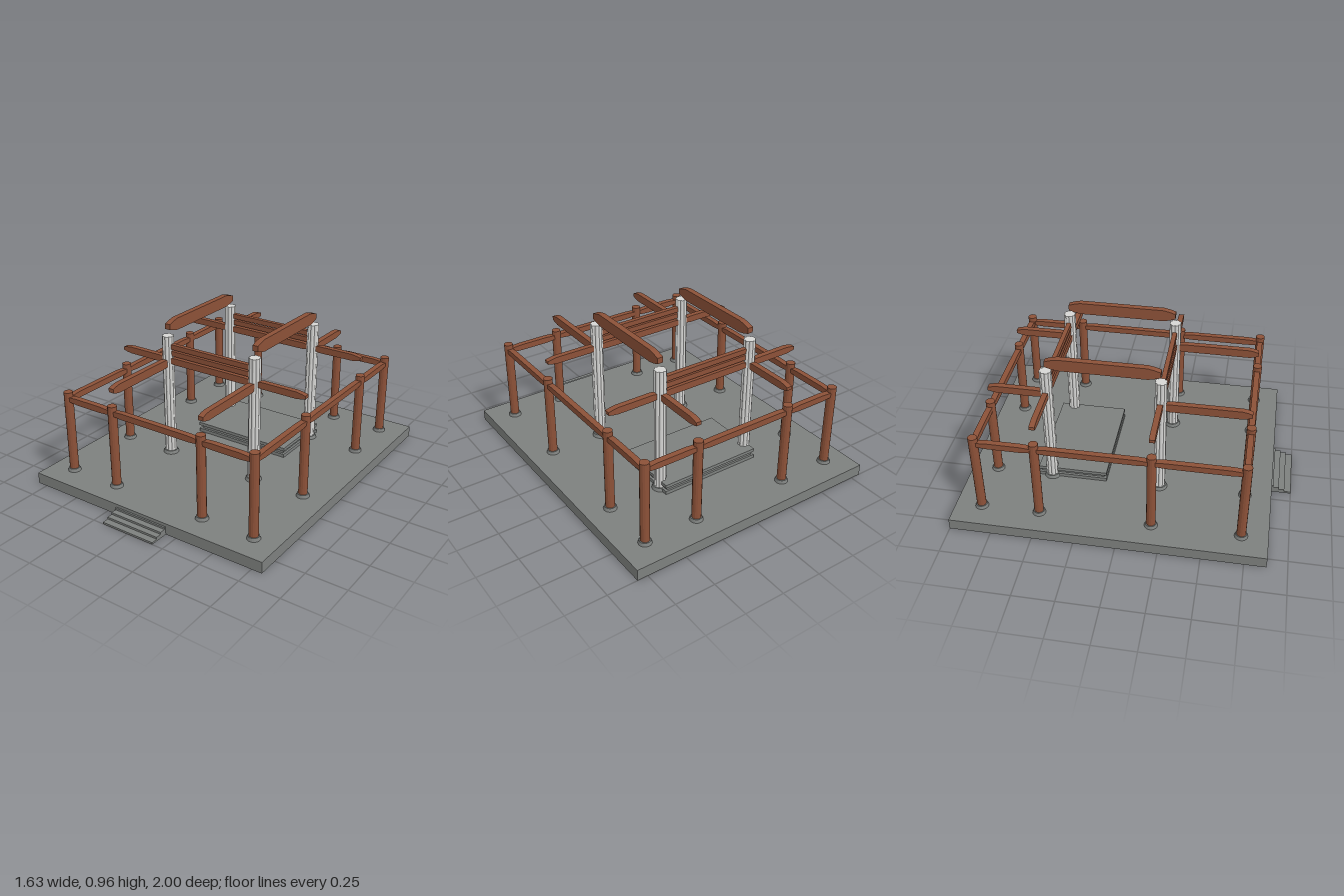
import * as THREE from 'three';

const mat = (name, color, flatShading = false) => {
  const m = new THREE.MeshStandardMaterial({ color, flatShading });
  m.name = name;
  return m;
};

export function createModel() {
  const model = new THREE.Group();
  const stone = mat('grey stone', 0x7d807e, true);
  const wood = mat('red brown timber', 0x8c5138, true);
  const pale = mat('pale pillar', 0xd6d6d4, true);

  const add = (name, geo, material, x, y, z) => {
    const mesh = new THREE.Mesh(geo, material);
    mesh.name = name;
    mesh.position.set(x, y, z);
    model.add(mesh);
    return mesh;
  };
  // box given by its limits
  const block = (name, x0, x1, y0, y1, z0, z1, material = stone) =>
    add(name, new THREE.BoxGeometry(x1 - x0, y1 - y0, z1 - z0), material,
      (x0 + x1) / 2, (y0 + y1) / 2, (z0 + z1) / 2);

  // beam with stepped, tapering ends, running along x or z
  const beam = (name, axis, a, b, across, y0, y1, width, taper = 0.05, drop = 0.27) => {
    const h = y1 - y0, L = b - a, d = h * drop;
    const half = [[0, d], [taper * 0.5, d * 0.4], [taper, 0]];
    const top = [...half, ...half.map(([x, v]) => [L - x, v]).reverse()];
    const pts = [
      ...top.map(([x, v]) => new THREE.Vector2(x - L / 2, v - h / 2)),
      ...top.reverse().map(([x, v]) => new THREE.Vector2(x - L / 2, h / 2 - v)),
    ];
    const geo = new THREE.ExtrudeGeometry(new THREE.Shape(pts), { depth: width, bevelEnabled: false });
    geo.translate(0, 0, -width / 2);
    if (axis === 'z') geo.rotateY(Math.PI / 2);
    const mid = (a + b) / 2;
    return add(name, geo, wood, axis === 'x' ? mid : across, (y0 + y1) / 2, axis === 'x' ? across : mid);
  };

  // terrace and front steps
  block('platform', -0.815, 0.815, 0, 0.07, -1, 0.88);
  [1, 0.96, 0.925, 0.89].forEach((z, i) =>
    block('step', -0.18, 0.18, i * 0.0125, (i + 1) * 0.0125, 0.87, z));

  // layered dais
  block('daisFoot', -0.33, 0.33, 0.07, 0.092, -0.567, -0.14);
  block('daisWaist', -0.315, 0.315, 0.092, 0.114, -0.555, -0.155);
  block('daisTop', -0.33, 0.33, 0.114, 0.135, -0.567, -0.14);

  // column grid
  const xs = [-0.66, -0.315, 0.315, 0.66];
  const zs = [-0.84, -0.485, 0.19, 0.72];
  const base = r => new THREE.CylinderGeometry(r * 0.85, r, 0.02, 20);
  const outerBase = base(0.04), innerBase = base(0.05);
  const post = new THREE.CylinderGeometry(0.028, 0.028, 0.51, 14);

  // lobed section for the tall inner pillars
  const lobes = [];
  for (let i = 0; i < 48; i++) {
    const t = i / 48 * Math.PI * 2;
    const r = 0.031 + 0.006 * Math.abs(Math.sin(t * 4));
    lobes.push(new THREE.Vector2(Math.cos(t) * r, Math.sin(t) * r));
  }
  const pillar = new THREE.ExtrudeGeometry(new THREE.Shape(lobes), { depth: 0.775, bevelEnabled: false });
  pillar.rotateX(-Math.PI / 2);

  xs.forEach((x, i) => zs.forEach((z, j) => {
    const inner = i % 3 !== 0 && j % 3 !== 0;
    add(inner ? 'pillarBase' : 'postBase', inner ? innerBase : outerBase, stone, x, 0.08, z);
    if (inner) add('pillar', pillar, pale, x, 0.09, z);
    else add('post', post, wood, x, 0.345, z);
  }));

  // low ring beams between the outer posts
  for (let i = 0; i < 3; i++) {
    for (const z of [zs[0], zs[3]]) beam('eaveBeam', 'x', xs[i], xs[i + 1], z, 0.538, 0.576, 0.035, 0.08, 0.2);
    for (const x of [xs[0], xs[3]]) beam('sideBeam', 'z', zs[i], zs[i + 1], x, 0.538, 0.576, 0.035, 0.08, 0.2);
  }

  // cross beams through the inner pillars, with stacked ties in the middle bay
  for (const z of [zs[1], zs[2]]) {
    for (let i = 0; i < 3; i++) beam('crossBeam', 'x', xs[i], xs[i + 1], z, 0.688, 0.73, 0.034, 0.06);
    block('lowerTie', -0.3, 0.3, 0.74, 0.772, z - 0.011, z + 0.011, wood);
    block('upperTie', -0.3, 0.3, 0.784, 0.816, z - 0.014, z + 0.014, wood);
  }

  // long beams from front to back
  for (const x of [xs[1], xs[2]]) {
    beam('frontTieBeam', 'z', zs[2], zs[3], x, 0.667, 0.72, 0.035, 0.055);
    beam('rearTieBeam', 'z', zs[0], zs[1], x, 0.682, 0.727, 0.035, 0.055);
    beam('mainBeam', 'z', zs[1], zs[2], x, 0.882, 0.957, 0.037, 0.075);
  }
  return model;
}
